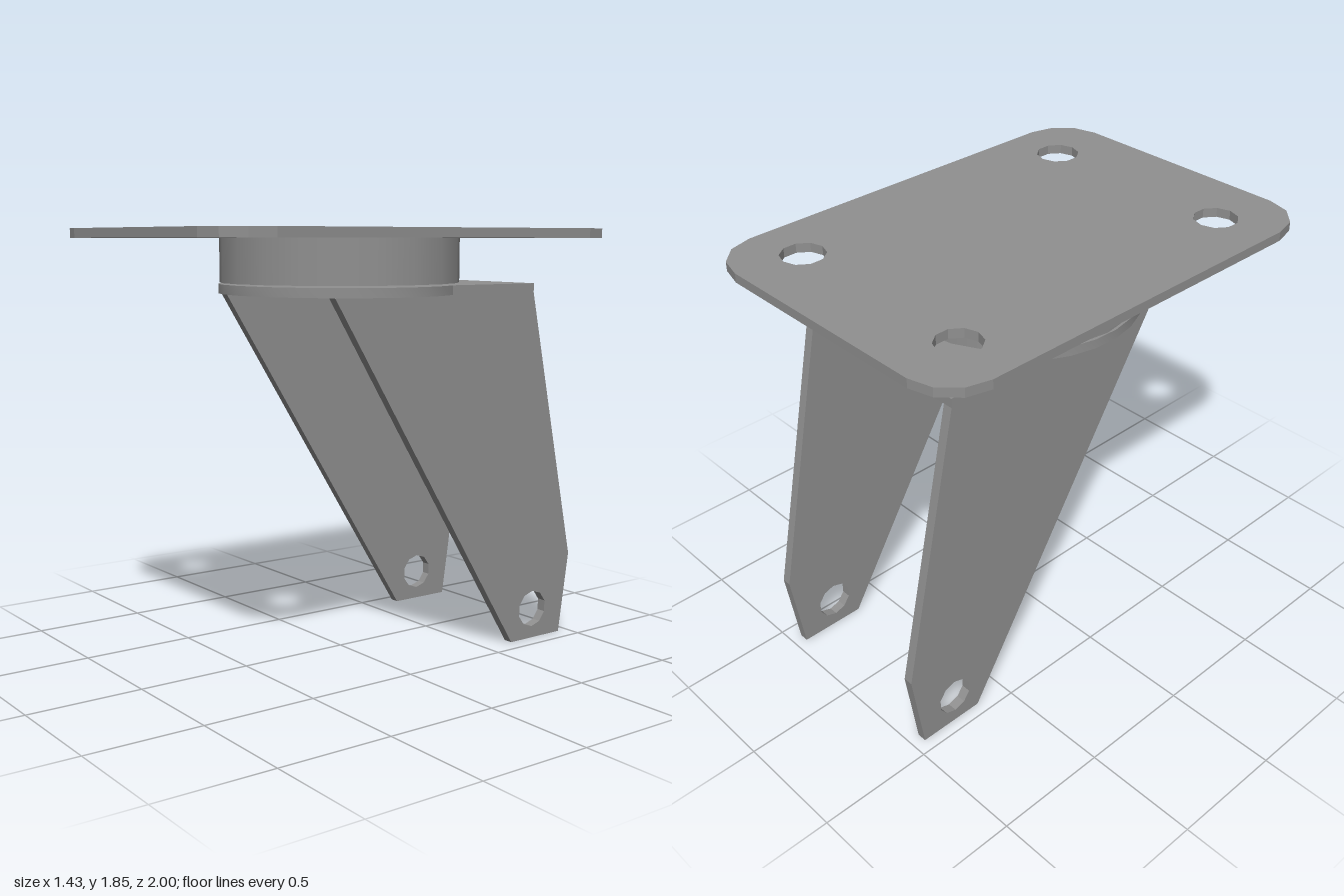
import * as THREE from 'three';
import { toCreasedNormals } from 'three/addons/utils/BufferGeometryUtils.js';

const flat = new THREE.MeshStandardMaterial({ color: 0x909090, flatShading: true });
const smooth = new THREE.MeshStandardMaterial({ color: 0x909090 });

function part(name, geometry, material) {
  const mesh = new THREE.Mesh(geometry, material);
  mesh.name = name;
  return mesh;
}

// Ten-sided bolt hole
function hole(x, y, r) {
  const points = [];
  for (let i = 0; i < 10; i++) {
    const a = ((i + 0.5) / 10) * Math.PI * 2;
    points.push(new THREE.Vector2(x + r * Math.cos(a), y + r * Math.sin(a)));
  }
  return new THREE.Path(points);
}

const extrude = (shape, depth, curveSegments) =>
  new THREE.ExtrudeGeometry(shape, { depth, curveSegments, bevelEnabled: false });

// Horizontal sheet: shape y becomes -z
const sheet = (shape, thickness, y, segments) =>
  extrude(shape, thickness, segments).rotateX(-Math.PI / 2).translate(0, y, 0);

// Rectangle whose corners are cut in three straight steps
function steppedRectangle(w, h, r, centreY) {
  const points = [];
  [[1, 1], [-1, 1], [-1, -1], [1, -1]].forEach(([sx, sy], corner) => {
    for (let i = 0; i <= 3; i++) {
      const a = (corner + i / 3) * Math.PI / 2;
      points.push(new THREE.Vector2(
        sx * (w - r) + r * Math.cos(a), centreY + sy * (h - r) + r * Math.sin(a)));
    }
  });
  return new THREE.Shape(points);
}

export function createModel() {
  const model = new THREE.Group();
  model.name = 'casterBracket';

  // Mounting plate with four bolt holes
  const outline = steppedRectangle(0.713, 0.993, 0.205, -0.007);
  for (const x of [-0.452, 0.46])
    for (const y of [-0.708, 0.703]) outline.holes.push(hole(x, y, 0.094));
  model.add(part('mountingPlate', sheet(outline, 0.04, 1.813, 1), flat));

  // Swivel bearing housing
  const housing = new THREE.CylinderGeometry(0.517, 0.517, 0.188, 20);
  const swivel = part('swivelHousing', housing, smooth);
  swivel.position.set(0, 1.719, 0.005);
  model.add(swivel);

  // Fork, leaning very slightly to one side
  const fork = new THREE.Group();
  fork.name = 'fork';
  fork.position.set(-0.004, 1.599, 0);
  fork.rotation.z = -0.005;
  model.add(fork);

  // Crown: round at the front, square at the back
  const half = 0.436, radius = 0.517;
  const a = Math.acos(half / radius);
  const crown = new THREE.Shape();
  crown.moveTo(-half, 0.735);
  crown.lineTo(-half, radius * Math.sin(a) - 0.01);
  crown.absarc(0, -0.01, radius, Math.PI - a, Math.PI * 2 + a);
  crown.lineTo(half, 0.735);
  crown.closePath();
  fork.add(part('forkCrown', toCreasedNormals(sheet(crown, 0.04, -0.02, 10), 0.4), smooth));

  // Tapered legs with axle holes, drawn in z and y
  const leg = new THREE.Shape([
    [0.34, 1.58], [-0.735, 1.58], [-1, 0.37], [-0.948, 0.003], [-0.65, 0.003],
  ].map(([z, y]) => new THREE.Vector2(z, y)));
  leg.holes.push(hole(-0.775, 0.14, 0.083));
  for (const [name, x] of [['leftLeg', half], ['rightLeg', 0.042 - half]]) {
    const geometry = extrude(leg, 0.042, 1).rotateY(-Math.PI / 2).translate(x, -1.6, 0);
    fork.add(part(name, geometry, flat));
  }

  return model;
}
